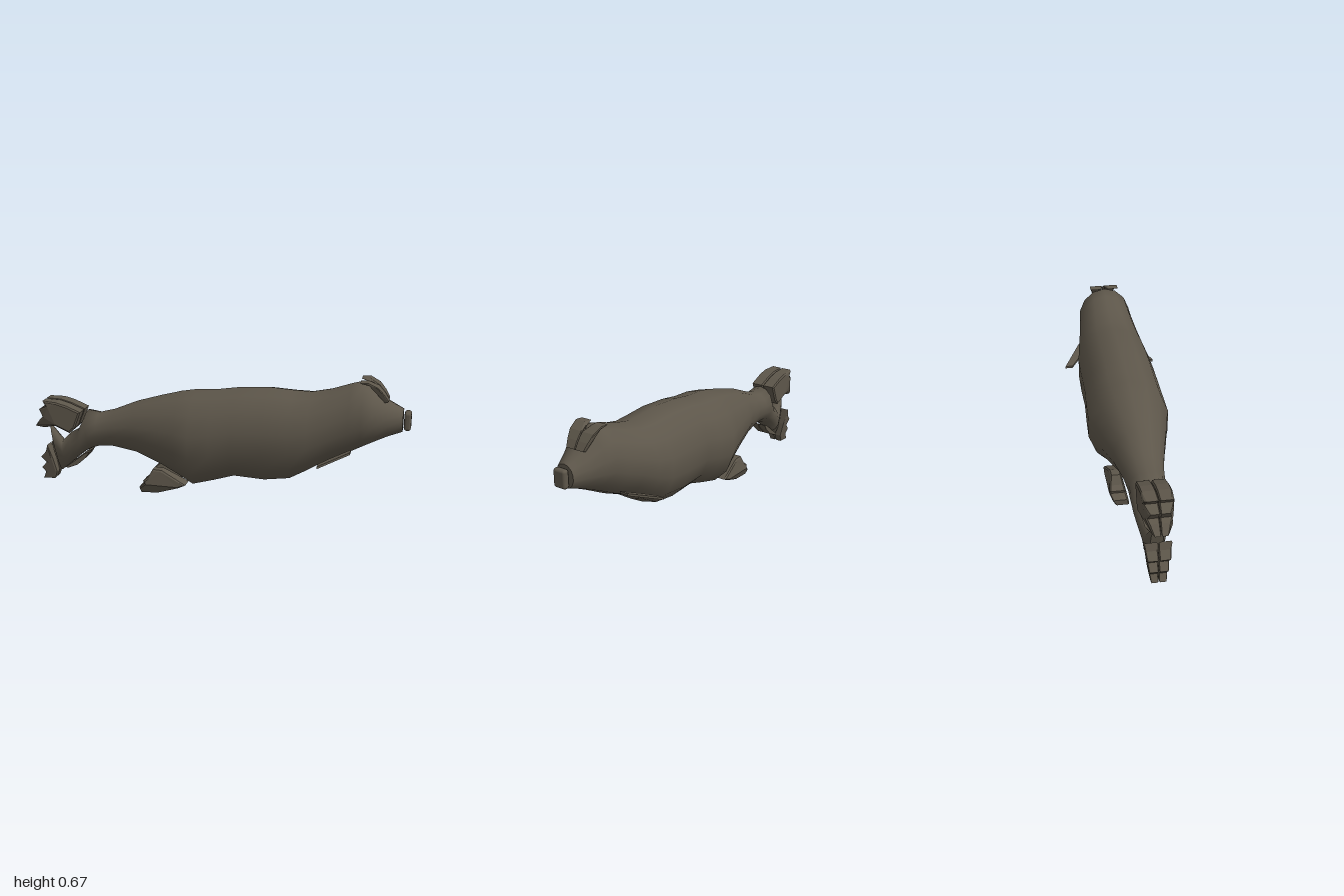
import * as THREE from 'three';
import { RoundedBoxGeometry } from 'three/addons/geometries/RoundedBoxGeometry.js';

const hide = new THREE.MeshStandardMaterial({ color: 0x5d564a });
hide.name = 'dark hide';

const SIDES = 14;

// Body cross-sections, tail to snout: top x, top y, bottom x, bottom y, half width
const SECTIONS = [
  [-0.925, 0.315, -0.87, 0.045, 0.03],
  [-0.86, 0.215, -0.815, 0.09, 0.055],
  [-0.805, 0.27, -0.765, 0.136, 0.07],
  [-0.755, 0.298, -0.72, 0.172, 0.08],
  [-0.705, 0.405, -0.68, 0.192, 0.09],
  [-0.64, 0.395, -0.63, 0.21, 0.09],
  [-0.55, 0.42, -0.55, 0.215, 0.1],
  [-0.42, 0.475, -0.42, 0.195, 0.13],
  [-0.28, 0.518, -0.28, 0.14, 0.167],
  [-0.18, 0.545, -0.18, 0.088, 0.19],
  [-0.1, 0.56, -0.1, 0.043, 0.213],
  [0.01, 0.567, 0.01, 0.075, 0.209],
  [0.12, 0.585, 0.12, 0.11, 0.203],
  [0.28, 0.597, 0.28, 0.102, 0.203],
  [0.41, 0.59, 0.41, 0.122, 0.199],
  [0.5, 0.588, 0.5, 0.175, 0.186],
  [0.6, 0.61, 0.6, 0.24, 0.167],
  [0.7, 0.645, 0.7, 0.285, 0.151],
  [0.76, 0.662, 0.765, 0.32, 0.145],
  [0.81, 0.625, 0.82, 0.35, 0.127],
  [0.88, 0.573, 0.89, 0.385, 0.09],
  [0.96, 0.532, 0.96, 0.412, 0.052],
];

// Lofted body of elliptical rings with flat ends
function bodyGeometry() {
  const pos = [], index = [];
  const ring = ([tx, ty, bx, by, w]) => {
    for (let i = 0; i < SIDES; i++) {
      const a = (i / SIDES) * Math.PI * 2, k = (Math.cos(a) + 1) / 2;
      pos.push(bx + (tx - bx) * k, by + (ty - by) * k, Math.sin(a) * w);
    }
  };
  SECTIONS.forEach(ring);
  for (let s = 0; s < SECTIONS.length - 1; s++) {
    for (let i = 0; i < SIDES; i++) {
      const a = s * SIDES + i, b = s * SIDES + (i + 1) % SIDES;
      index.push(a, b, a + SIDES, b, b + SIDES, a + SIDES);
    }
  }
  [SECTIONS[0], SECTIONS[SECTIONS.length - 1]].forEach((section, end) => {
    const start = pos.length / 3;
    ring(section);
    for (let i = 1; i < SIDES - 1; i++) {
      if (end) index.push(start, start + i, start + i + 1);
      else index.push(start, start + i + 1, start + i);
    }
  });
  const g = new THREE.BufferGeometry();
  g.setAttribute('position', new THREE.Float32BufferAttribute(pos, 3));
  g.setIndex(index);
  g.computeVertexNormals();
  return g;
}

// Side outline extruded between inner and outer z rules; side is +1 or -1
function slab(points, side, inner, outer, bevel = 0.008) {
  const shape = new THREE.Shape(points.map(p => new THREE.Vector2(...p)));
  const g = new THREE.ExtrudeGeometry(shape, {
    depth: 0.1 - 2 * bevel, bevelEnabled: bevel > 0, bevelSize: bevel,
    bevelThickness: bevel, bevelOffset: -bevel, bevelSegments: 1,
  });
  g.translate(0, 0, bevel);
  const p = g.attributes.position;
  for (let i = 0; i < p.count; i++) {
    const x = p.getX(i), y = p.getY(i), t = p.getZ(i) / 0.1;
    const u = side > 0 ? t : 1 - t;
    p.setZ(i, side * THREE.MathUtils.lerp(inner(x, y), outer(x, y), u));
  }
  g.computeVertexNormals();
  return g;
}

const UPPER_TAIL = [[-0.725, 0.405], [-0.8, 0.435], [-0.86, 0.45], [-0.94, 0.452], [-0.92, 0.425],
  [-0.968, 0.4], [-0.945, 0.362], [-0.965, 0.345], [-1, 0.3], [-0.935, 0.305],
  [-0.87, 0.32], [-0.79, 0.285], [-0.76, 0.315]];
const LOWER_TAIL = [[-0.925, 0.205], [-0.9, 0.12], [-0.885, 0.045], [-0.9, 0.005], [-0.968, 0],
  [-0.95, 0.04], [-0.97, 0.065], [-0.94, 0.1], [-0.968, 0.13], [-0.937, 0.165]];
const TAIL_PAD = [[-0.69, 0.178], [-0.72, 0.165], [-0.77, 0.125], [-0.83, 0.08],
  [-0.82, 0.075], [-0.76, 0.1], [-0.71, 0.145]];
const BELLY = [[-0.31, 0.14], [-0.26, 0.138], [-0.13, 0.07], [-0.17, 0.05], [-0.29, 0.005],
  [-0.38, 0], [-0.385, 0.035], [-0.355, 0.06], [-0.36, 0.075], [-0.335, 0.095]];
const CREST = [[0.745, 0.666], [0.785, 0.67], [0.835, 0.645], [0.865, 0.61], [0.887, 0.575],
  [0.868, 0.568], [0.835, 0.605], [0.79, 0.655]];
const FIN = [[0.72, 0.16], [0.72, 0.115], [0.62, 0.173], [0.57, 0.213], [0.57, 0.253]];

// Thin side fin, drawn in plan and tilted down to the rear
function finGeometry(side) {
  const shape = new THREE.Shape(FIN.map(([x, z]) => new THREE.Vector2(x, -side * z)));
  const g = new THREE.ExtrudeGeometry(shape, { depth: 0.012, bevelEnabled: false });
  g.rotateX(-Math.PI / 2);
  const p = g.attributes.position;
  for (let i = 0; i < p.count; i++) {
    p.setY(i, p.getY(i) + 0.27 + (p.getX(i) - 0.57) * 0.36);
  }
  g.computeVertexNormals();
  return g;
}

export function createModel() {
  const model = new THREE.Group();
  model.name = 'seaAnimal';
  const add = (name, geometry) => {
    const mesh = new THREE.Mesh(geometry, hide);
    mesh.name = name;
    model.add(mesh);
    return mesh;
  };

  add('body', bodyGeometry());
  add('nose', new RoundedBoxGeometry(0.035, 0.094, 0.07, 2, 0.014)).position.set(0.9825, 0.472, 0);

  // Paired parts
  for (const side of [1, -1]) {
    const label = side > 0 ? 'Front' : 'Back';
    const centre = () => 0.001;
    add('upperTailFlipper' + label, slab(UPPER_TAIL, side, centre,
      x => (x < -0.92 ? 0.072 - (-0.92 - x) * 0.5 : 0.072)));
    add('lowerTailFlipper' + label, slab(LOWER_TAIL, side, centre,
      (x, y) => 0.037 + y * 0.15));
    add('tailPad' + label, slab(TAIL_PAD, side, centre, () => 0.045, 0.003));
    add('bellyFlipper' + label, slab(BELLY, side,
      (x, y) => 0.038 + y * 0.25,
      (x, y) => (y < 0.06 ? 0.11 + y * 0.5 : 0.14 - (y - 0.06) * 0.2)));
    add('headCrest' + label, slab(CREST, side,
      (x, y) => (y > 0.65 ? 0.001 + (y - 0.65) * 1.1 : 0.001),
      (x, y) => 0.05 + (y - 0.57) * 0.29, 0.004));
    add('sideFin' + label, finGeometry(side));
  }
  return model;
}
